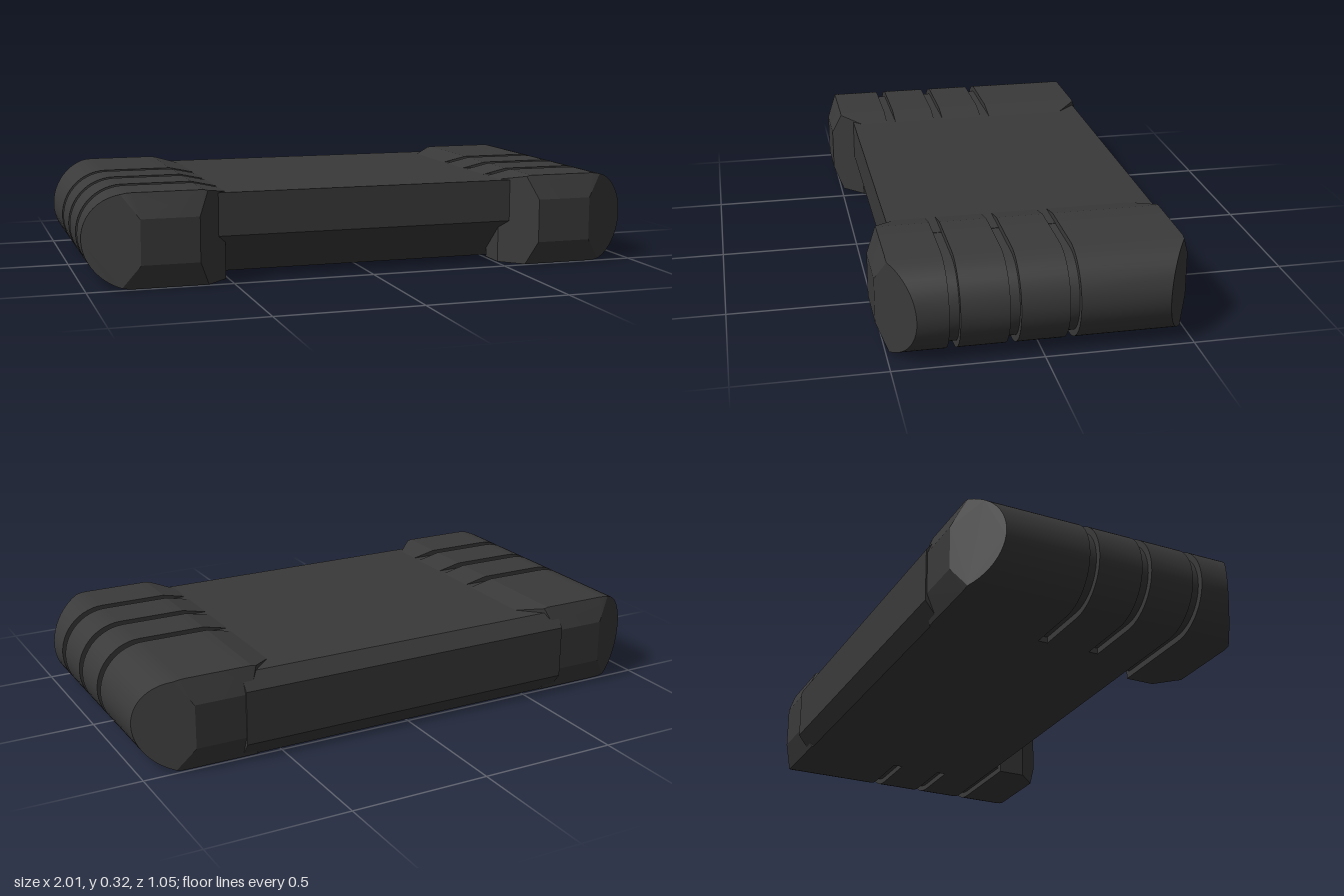
import * as THREE from 'three';
import { ConvexGeometry } from 'three/addons/geometries/ConvexGeometry.js';
import { toCreasedNormals } from 'three/addons/utils/BufferGeometryUtils.js';

const MID = 0.1625; // half the grip height

// D-shaped grip outline in x and y, rounded on the outer side
function gripOutline(radius, inner) {
  const pts = [...inner];
  for (let i = 0; i <= 26; i++) {
    const a = Math.PI * (0.5 - i / 26);
    pts.push([0.84 + radius * Math.cos(a), MID + radius * Math.sin(a)]);
  }
  return pts;
}

// Distance to the bevelled end of a grip at a point of its outline
function endZ(x, y) {
  const outer = 0.525 - (x - 0.82) * 0.61;
  const inner = 0.415 + (x - 0.51);
  const edge = 0.49 + (MID - Math.abs(y - MID)) * 0.41;
  return Math.min(0.525, outer, inner, edge);
}

export function createModel() {
  const charcoal = new THREE.MeshStandardMaterial({ color: 0x3a3a3a });
  charcoal.name = 'charcoal';
  const model = new THREE.Group();
  model.name = 'caseWithGrips';

  function add(parent, name, geometry) {
    const mesh = new THREE.Mesh(geometry, charcoal);
    mesh.name = name;
    parent.add(mesh);
  }
  const hull = (pts) => toCreasedNormals(new ConvexGeometry(pts), 0.2);

  // Central slab: undercut at the front, bevelled at the back
  const side = new THREE.Shape([
    [0.275, 0], [0.445, 0.155], [0.445, 0.305], [-0.49, 0.305],
    [-0.53, 0.25], [-0.53, 0.06], [-0.485, 0],
  ].map(([z, y]) => new THREE.Vector2(z, y)));
  const slab = new THREE.ExtrudeGeometry(side, { depth: 1.28, bevelEnabled: false });
  slab.translate(0, 0, -0.64);
  slab.rotateY(-Math.PI / 2);
  add(model, 'centralBody', slab);

  const shell = gripOutline(MID, [[0.585, 0], [0.51, 0], [0.51, 0.305], [0.585, 0.3217], [0.6, 0.325]]);
  const core = gripOutline(0.141, [[0.53, 0.0215], [0.53, 0.3035]]);
  const cuts = [0.31, 0.275, 0.115, 0.08, -0.08, -0.115]; // groove edges

  for (const s of [1, -1]) {
    const grip = new THREE.Group();
    grip.name = s > 0 ? 'leftGrip' : 'rightGrip';
    model.add(grip);
    const slice = (outline, z) => outline.map(([x, y]) => new THREE.Vector3(s * x, y, z));

    // Bevelled end blocks
    const endBlock = (dir, cut) => {
      const pts = slice(shell, cut);
      for (const [x, y] of shell) pts.push(new THREE.Vector3(s * x, y, dir * endZ(x, y)));
      for (const x of [0.62, 0.82]) {
        for (const y of [0.085, 0.24]) pts.push(new THREE.Vector3(s * x, y, dir * 0.525));
      }
      return hull(pts);
    };
    add(grip, 'gripFrontEnd', endBlock(1, cuts[0]));
    add(grip, 'gripBackEnd', endBlock(-1, cuts[5]));

    // Raised ribs between the grooves
    for (const i of [1, 3]) {
      add(grip, 'gripRib', hull([...slice(shell, cuts[i]), ...slice(shell, cuts[i + 1])]));
    }

    // Groove floors
    for (const i of [0, 2, 4]) {
      add(grip, 'gripGroove', hull([...slice(core, cuts[i]), ...slice(core, cuts[i + 1])]));
    }
  }
  return model;
}
